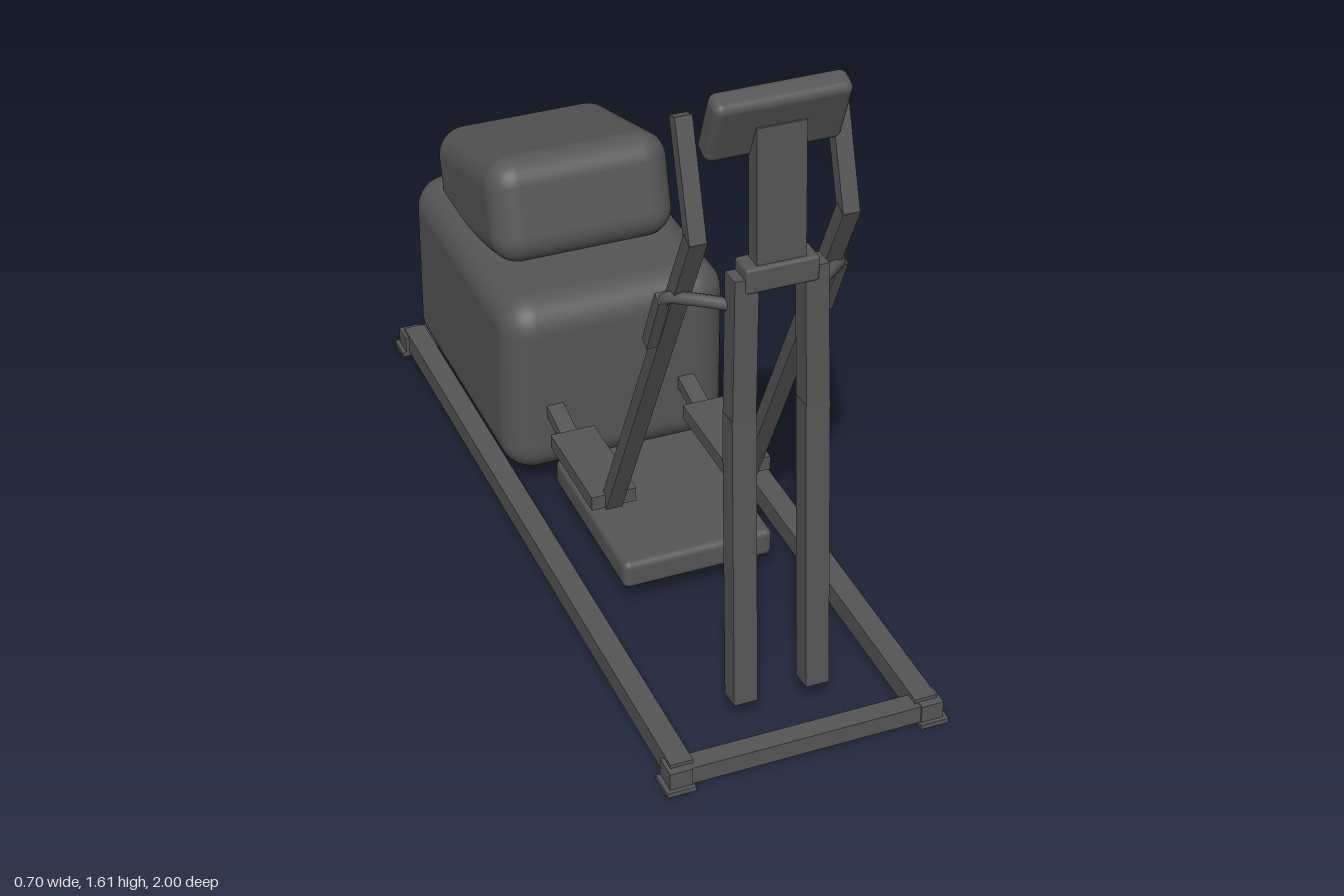
import * as THREE from 'three';
import { RoundedBoxGeometry } from 'three/addons/geometries/RoundedBoxGeometry.js';

export function createModel() {
  const model = new THREE.Group();
  model.name = 'ellipticalTrainer';
  const dark = new THREE.MeshStandardMaterial({ color: 0x555555 });
  dark.name = 'darkGrey';
  const light = new THREE.MeshStandardMaterial({ color: 0xd0d0d0 });
  light.name = 'lightGrey';

  const add = (name, geometry, x, y, z, material = dark) => {
    const mesh = new THREE.Mesh(geometry, material);
    mesh.name = name;
    mesh.position.set(x, y, z);
    model.add(mesh);
    return mesh;
  };
  const box = (name, w, h, d, x, y, z, material) =>
    add(name, new THREE.BoxGeometry(w, h, d), x, y, z, material);
  const rounded = (name, w, h, d, r, x, y, z) =>
    add(name, new RoundedBoxGeometry(w, h, d, 5, r), x, y, z);

  // Straight bar between two points, slightly overlapping its neighbours
  const bar = (name, from, to, w, t, extra = 0) => {
    const a = new THREE.Vector3(...from), b = new THREE.Vector3(...to);
    const mid = a.clone().add(b).multiplyScalar(0.5);
    const mesh = box(name, w, t, a.distanceTo(b) + extra, mid.x, mid.y, mid.z);
    const d = b.clone().sub(a);
    if (Math.abs(d.y) > Math.abs(d.z)) mesh.up.set(0, 0, 1);
    mesh.lookAt(b);
    return mesh;
  };

  // Floor frame
  for (const s of [-1, 1]) {
    box('sideRail', 0.055, 0.055, 1.94, s * 0.303, 0.038, 0);
    box('crossRail', 0.6, 0.045, 0.05, 0, 0.032, s * 0.96);
    for (const e of [-1, 1]) {
      box('cornerFoot', 0.07, 0.012, 0.07, s * 0.315, 0.006, e * 0.965);
      box('cornerCap', 0.055, 0.045, 0.06, s * 0.312, 0.034, e * 0.96);
    }
  }

  // Rear drive housing, with a tilted upper shroud
  rounded('driveHousing', 0.6, 0.505, 0.785, 0.085, 0, 0.313, -0.568);
  rounded('upperShroud', 0.49, 0.28, 0.515, 0.075, 0, 0.635, -0.652).rotation.x = -0.28;

  // Centre platform and its small light block
  rounded('platform', 0.39, 0.075, 0.485, 0.018, 0, 0.103, 0.103);
  box('lightBlock', 0.03, 0.06, 0.033, -0.142, 0.168, -0.087, light);

  // Mast: bracket, neck and console
  rounded('mastBracket', 0.172, 0.062, 0.068, 0.008, 0, 1.167, 0.75);
  bar('neck', [0, 1.19, 0.75], [0, 1.52, 0.735], 0.115, 0.045);
  const console_ = rounded('console', 0.315, 0.17, 0.062, 0.02, 0, 1.523, 0.72);
  console_.rotation.x = 0.37;
  const screen = new THREE.Mesh(new THREE.BoxGeometry(0.27, 0.125, 0.004), dark);
  screen.name = 'consolePanel';
  screen.position.z = -0.031;
  console_.add(screen);

  for (const s of [-1, 1]) {
    // Bent upright
    bar('lowerUpright', [s * 0.09, 0.068, 0.81], [s * 0.088, 0.82, 0.765], 0.058, 0.055, 0.004);
    bar('upperUpright', [s * 0.088, 0.82, 0.765], [s * 0.082, 1.168, 0.75], 0.056, 0.055, 0.004);

    // Swinging arm and hand grip
    bar('swingArm', [s * 0.178, 0.245, 0.22], [s * 0.178, 1.26, 0.72], 0.042, 0.036, 0.01);
    bar('handGrip', [s * 0.178, 1.255, 0.72], [s * 0.178, 1.515, 0.636], 0.04, 0.034, 0.006);

    // Fixed handle: branch from the upright and grip beside the arm
    const path = new THREE.CurvePath();
    const p = [[0.1, 1.09, 0.735], [0.17, 1.083, 0.67], [0.205, 1.07, 0.63], [0.21, 1.04, 0.61]]
      .map(([x, y, z]) => new THREE.Vector3(s * x, y, z));
    path.add(new THREE.CatmullRomCurve3(p));
    add('handleBranch', new THREE.TubeGeometry(path, 16, 0.015, 8), 0, 0, 0);
    bar('fixedGrip', [s * 0.21, 1.065, 0.62], [s * 0.21, 0.91, 0.55], 0.03, 0.03, 0.006);

    // Pedal and the link running back into the housing
    box('pedal', 0.115, 0.038, 0.285, s * 0.177, 0.256, 0.088);
    bar('pedalLink', [s * 0.178, 0.232, -0.05], [s * 0.178, 0.275, -0.24], 0.044, 0.032);
  }

  return model;
}
